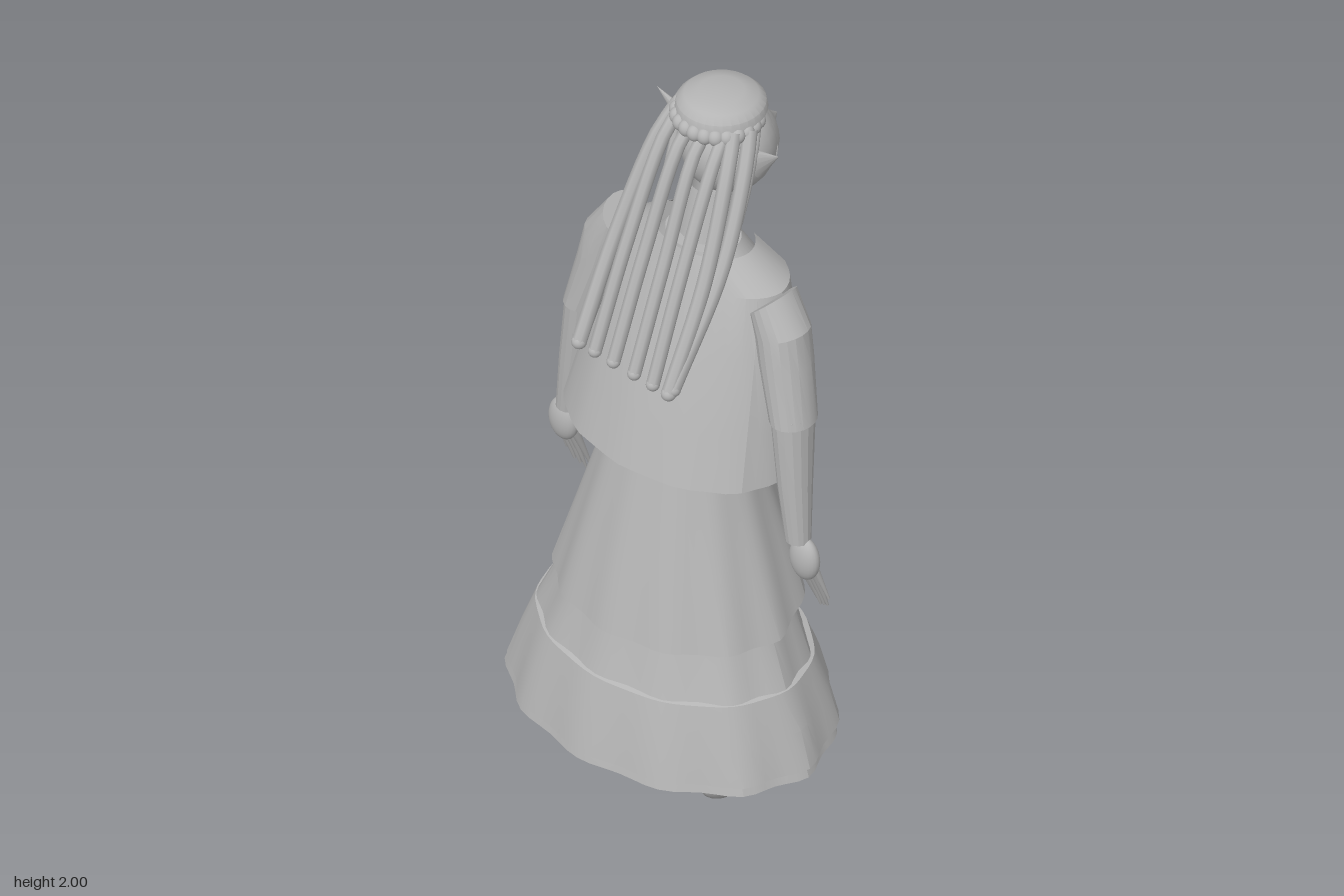
import * as THREE from 'three';
import { toCreasedNormals } from 'three/addons/utils/BufferGeometryUtils.js';

const grey = new THREE.MeshStandardMaterial({ color: 0xb4b4b4, side: THREE.DoubleSide });
grey.name = 'plain grey';

// Rows run downward as [y, backX, frontX, halfWidthZ, centreZ]; angle 0 points to +x, k goes 0 to 1 down the part
function loft(rows, { seg = 40, from = 0, to = Math.PI * 2, wave = () => 0, lift = () => 0, cap = false, crease = 0.3 } = {}) {
  const pos = [], idx = [], n = seg + 1, last = rows.length - 1;
  rows.forEach(([y, back, front, hz, cz = 0]) => {
    const k = (rows[0][0] - y) / (rows[0][0] - rows[last][0]);
    for (let i = 0; i <= seg; i++) {
      const t = from + (to - from) * i / seg, w = 1 + wave(t, k);
      pos.push((back + front) / 2 + (front - back) / 2 * Math.cos(t) * w, y + lift(t, k), cz + hz * Math.sin(t) * w);
    }
  });
  for (let r = 0; r < last; r++) {
    for (let i = 0; i < seg; i++) {
      const a = r * n + i, b = a + n;
      idx.push(a, a + 1, b, a + 1, b + 1, b);
    }
  }
  if (cap) {
    for (const r of [0, last]) {
      const [y, back, front, , cz = 0] = rows[r];
      const c = pos.length / 3;
      pos.push((back + front) / 2, y, cz);
      for (let i = 0; i < seg; i++) {
        const a = r * n + i;
        if (r === 0) idx.push(c, a + 1, a); else idx.push(c, a, a + 1);
      }
    }
  }
  const g = new THREE.BufferGeometry();
  g.setAttribute('position', new THREE.Float32BufferAttribute(pos, 3));
  g.setIndex(idx);
  return toCreasedNormals(g, crease);
}

export function createModel() {
  const model = new THREE.Group();
  model.name = 'figure';
  const add = (name, geometry, parent = model) => {
    const m = new THREE.Mesh(geometry, grey);
    m.name = name;
    parent.add(m);
    return m;
  };
  const group = name => {
    const g = new THREE.Group();
    g.name = name;
    model.add(g);
    return g;
  };
  const ball = (name, p, s, parent) => {
    const m = add(name, new THREE.SphereGeometry(1, 24, 16), parent);
    m.position.set(...p);
    m.scale.set(...s);
  };
  const spike = (name, a, b, radius, { flat = 1, parent, tip = 0 } = {}) => {
    const A = new THREE.Vector3(...a), B = new THREE.Vector3(...b), d = B.clone().sub(A);
    const m = add(name, new THREE.CylinderGeometry(tip, radius, d.length(), 12), parent);
    m.position.copy(A).add(B).multiplyScalar(0.5);
    m.quaternion.setFromUnitVectors(new THREE.Vector3(0, 1, 0), d.normalize());
    m.scale.x = flat;
  };
  const strand = (name, points, radius) => {
    const v = points.map(p => new THREE.Vector3(...p));
    add(name, new THREE.TubeGeometry(new THREE.CatmullRomCurve3(v), 14, radius, 8));
    ball(name + 'Tip', points[points.length - 1], [radius, radius, radius]);
  };

  // Skirt tiers: twelve soft folds, hems turned in and raised at the front
  const fold = (t, k) => 0.021 * Math.cos(12 * t) * (0.3 + 0.7 * k);
  const frontRise = t => Math.max(0, Math.cos(t)) ** 1.3;
  const tier = (name, rise, rows) =>
    add(name, loft(rows, { seg: 72, wave: fold, lift: (t, k) => rise * frontRise(t) * k }));
  tier('underskirt', 0.025, [
    [1.05, -0.12, 0.15, 0.18], [0.8, -0.19, 0.2, 0.25], [0.6, -0.24, 0.235, 0.31],
    [0.48, -0.28, 0.25, 0.365], [0.34, -0.322, 0.283, 0.418], [0.265, -0.34, 0.295, 0.443], [0.265, -0.328, 0.283, 0.43]
  ]);
  tier('flounce', 0.055, [
    [0.485, -0.275, 0.255, 0.358], [0.48, -0.288, 0.27, 0.372], [0.38, -0.316, 0.295, 0.41],
    [0.285, -0.338, 0.308, 0.44], [0.285, -0.326, 0.296, 0.427]
  ]);
  tier('overskirt', 0.1, [
    [1.08, -0.13, 0.165, 0.195], [0.95, -0.165, 0.195, 0.225], [0.78, -0.21, 0.233, 0.275],
    [0.6, -0.255, 0.262, 0.328], [0.6, -0.243, 0.25, 0.315]
  ]);
  add('scallopedFrill', loft([
    [1.1, -0.135, 0.178, 0.2], [1.055, -0.15, 0.188, 0.216]
  ], { seg: 112, lift: (t, k) => -0.024 * k * Math.abs(Math.sin(7 * t)) }));

  // Bodice, belt and neck
  add('bodice', loft([
    [1.61, 0.01, 0.17, 0.1], [1.55, 0, 0.203, 0.15], [1.49, -0.02, 0.222, 0.178], [1.4, -0.04, 0.225, 0.185],
    [1.3, -0.06, 0.2, 0.175], [1.17, -0.08, 0.165, 0.16]
  ], { cap: true }));
  add('belt', loft([
    [1.18, -0.1, 0.165, 0.168], [1.13, -0.115, 0.175, 0.188], [1.07, -0.13, 0.172, 0.196]
  ], { cap: true, crease: 0.6 }));
  add('neck', loft([[1.74, 0.07, 0.19, 0.062], [1.6, 0.035, 0.15, 0.07]], { seg: 24 }));

  // Jacket, open down the front
  add('jacket', loft([
    [1.61, 0, 0.19, 0.14], [1.54, -0.025, 0.235, 0.24], [1.4, -0.09, 0.25, 0.275],
    [1.2, -0.16, 0.235, 0.303], [1.07, -0.203, 0.215, 0.322]
  ], {
    seg: 30, from: 0.74, to: Math.PI * 2 - 0.74, wave: (t, k) => 0.012 * Math.cos(12 * t) * k,
    lift: (t, k) => 0.02 * k * frontRise(t)
  }));

  for (const s of [1, -1]) {
    const side = s > 0 ? 'left' : 'right';

    // Sleeves, the shoulder end cut at a slant
    add(side + 'UpperSleeve', loft([
      [1.535, 0.01, 0.145, 0.042, 0.242 * s], [1.47, 0, 0.14, 0.065, 0.28 * s], [1.4, -0.005, 0.133, 0.066, 0.296 * s],
      [1.25, -0.018, 0.108, 0.054, 0.338 * s]
    ], { seg: 20, cap: true, lift: (t, k) => 0.04 * s * Math.sin(t) * Math.max(0, 1 - 2.5 * k) }));
    add(side + 'LowerSleeve', loft([
      [1.27, -0.014, 0.104, 0.051, 0.336 * s], [1.08, -0.015, 0.075, 0.042, 0.357 * s], [0.92, -0.01, 0.052, 0.032, 0.376 * s]
    ], { seg: 16, cap: true }));

    // Hand and fingers
    const hand = group(side + 'Hand');
    ball('palm', [0.024, 0.87, 0.395 * s], [0.027, 0.06, 0.044], hand);
    for (let i = 0; i < 4; i++) {
      const z = (0.37 + i * 0.015) * s;
      spike('finger', [0.03, 0.85, z], [0.094 - i * 0.004, 0.69 + Math.abs(i - 1) * 0.008, z], 0.012, { parent: hand, tip: 0.003 });
    }
    spike('thumb', [0.03, 0.86, 0.415 * s], [0.07, 0.74, 0.43 * s], 0.011, { parent: hand, tip: 0.003 });

    // Leg, foot and toes
    add(side + 'Leg', loft([
      [0.85, -0.06, 0.07, 0.06, 0.115 * s], [0.3, -0.04, 0.055, 0.045, 0.125 * s], [0.13, -0.03, 0.045, 0.034, 0.125 * s]
    ], { seg: 20 }));
    const foot = group(side + 'Foot');
    ball('shoe', [0.054, 0.083, 0.125 * s], [0.106, 0.078, 0.044], foot);
    for (let i = -2; i <= 2; i++) {
      const z = 0.125 * s + i * 0.013;
      spike('toe', [0.1, 0.065, z], [0.182 - Math.abs(i) * 0.006, 0.023, z], 0.015, { parent: foot, tip: 0.003 });
    }

    // Pointed ear
    spike(side + 'Ear', [0.16, 1.825, 0.095 * s], [0.14, 1.908, 0.2 * s], 0.042, { flat: 0.5 });

    // Long strands swept straight back, and short locks by the ear
    for (const [z0, z1, x0] of [[0.022, 0.034, 0.035], [0.07, 0.095, 0.045]]) {
      strand(side + 'BackStrand', [
        [0.1, 1.95, z0 * s], [x0, 1.89, z0 * 1.15 * s], [-0.08, 1.62, z1 * 0.95 * s], [-0.185, 1.35, z1 * s]
      ], 0.017);
    }
    strand(side + 'OuterStrand', [
      [0.14, 1.94, 0.105 * s], [0.1, 1.86, 0.128 * s], [-0.01, 1.63, 0.156 * s], [-0.175, 1.36, 0.152 * s]
    ], 0.019);
    strand(side + 'InnerStrand', [
      [0.1, 1.945, 0.09 * s], [0.05, 1.86, 0.115 * s], [-0.06, 1.61, 0.145 * s], [-0.185, 1.35, 0.147 * s]
    ], 0.019);
    strand(side + 'SideLock', [[0.17, 1.94, 0.1 * s], [0.14, 1.88, 0.118 * s], [0.11, 1.78, 0.122 * s], [0.085, 1.7, 0.12 * s]], 0.011);
  }

  // Head with a pointed face
  ball('head', [0.178, 1.825, 0], [0.118, 0.122, 0.115]);
  const lathe = (name, points, segments) =>
    add(name, toCreasedNormals(new THREE.LatheGeometry(points.map(p => new THREE.Vector2(...p)), segments), 0.6));
  const nose = lathe('nose', [[0.098, 0], [0.075, 0.03], [0.042, 0.056], [0.02, 0.074], [0, 0.1]], 20);
  nose.rotation.z = -Math.PI / 2;
  nose.position.set(0.245, 1.822, 0);

  // Domed cap with a lumpy rim of hair
  const cap = lathe('cap', [[0, 0], [0.1, 0.004], [0.112, 0.02], [0.108, 0.04], [0.09, 0.058], [0.055, 0.067], [0, 0.07]], 32);
  cap.position.set(0.152, 1.93, 0);
  for (let i = 0; i < 16; i++) {
    const t = Math.PI * (0.35 + 1.3 * i / 15);
    ball('hairRoot', [0.14 + 0.095 * Math.cos(t), 1.935, 0.1 * Math.sin(t)], [0.02, 0.022, 0.02]);
  }
  return model;
}
